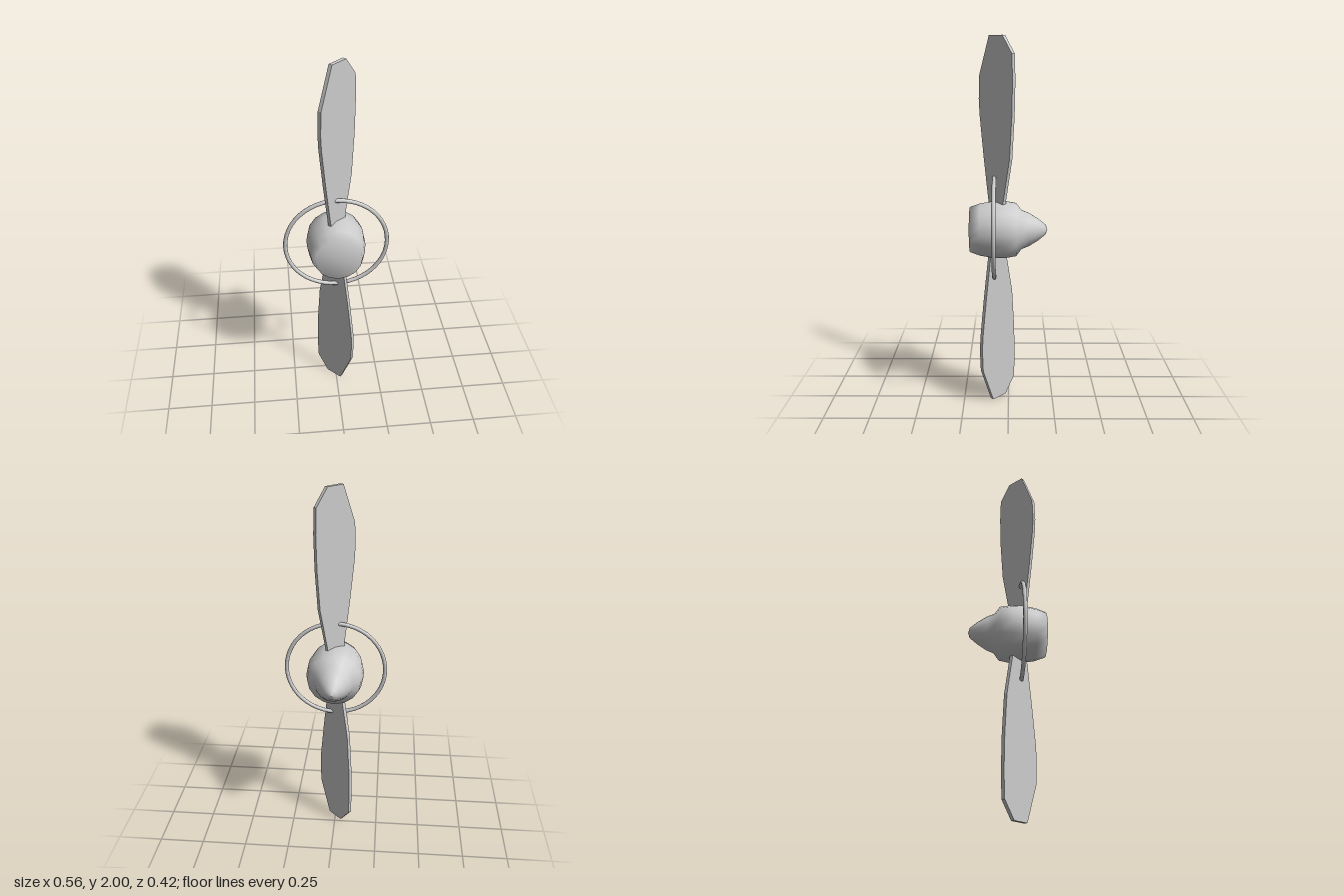
import * as THREE from 'three';

const material = new THREE.MeshStandardMaterial({ color: 0xcccccc });

// Flat paddle outline (chord, height above the axis), extruded and pitched
function bladeGeometry() {
  const outline = [
    [-0.055, 0.08], [-0.06, 0.15], [-0.095, 0.38], [-0.124, 0.6], [-0.129, 0.68],
    [-0.124, 0.8], [-0.047, 1], [0.052, 1], [0.122, 0.91], [0.127, 0.78],
    [0.122, 0.6], [0.105, 0.38], [0.057, 0.15], [0.055, 0.08],
  ].map(([x, y]) => new THREE.Vector2(x, y));
  const thickness = 0.02;
  const geometry = new THREE.ExtrudeGeometry(new THREE.Shape(outline), {
    depth: thickness, bevelEnabled: false,
  });
  geometry.translate(0, 0, -thickness / 2);
  geometry.rotateY(THREE.MathUtils.degToRad(44));
  geometry.translate(0.004, 0, 0.06);
  return geometry;
}

// Turned body: pointed rear cone, shoulder, barrel and flat front cap
function hubGeometry() {
  const profile = [
    [0, -0.21], [0.027, -0.201], [0.06, -0.16], [0.091, -0.11], [0.107, -0.07],
    [0.145, -0.042], [0.156, 0.018], [0.155, 0.08], [0.143, 0.152],
    [0.123, 0.207], [0, 0.207],
  ].map(([r, z]) => new THREE.Vector2(r, z));
  const geometry = new THREE.LatheGeometry(profile, 16);
  geometry.rotateX(Math.PI / 2);
  return geometry;
}

export function createModel() {
  const model = new THREE.Group();
  model.name = 'propeller';
  const add = (name, geometry, y) => {
    const mesh = new THREE.Mesh(geometry, material);
    mesh.name = name;
    mesh.position.y = y;
    model.add(mesh);
    return mesh;
  };

  add('hub', hubGeometry(), 0.99);

  // Thin hoop crossing both blades
  const ring = add('ring', new THREE.TorusGeometry(0.271, 0.011, 10, 48), 1);
  ring.position.z = 0.075;

  // Two blades, half a turn apart
  const blade = bladeGeometry();
  add('upperBlade', blade, 1);
  add('lowerBlade', blade, 1).rotation.z = Math.PI;

  return model;
}
